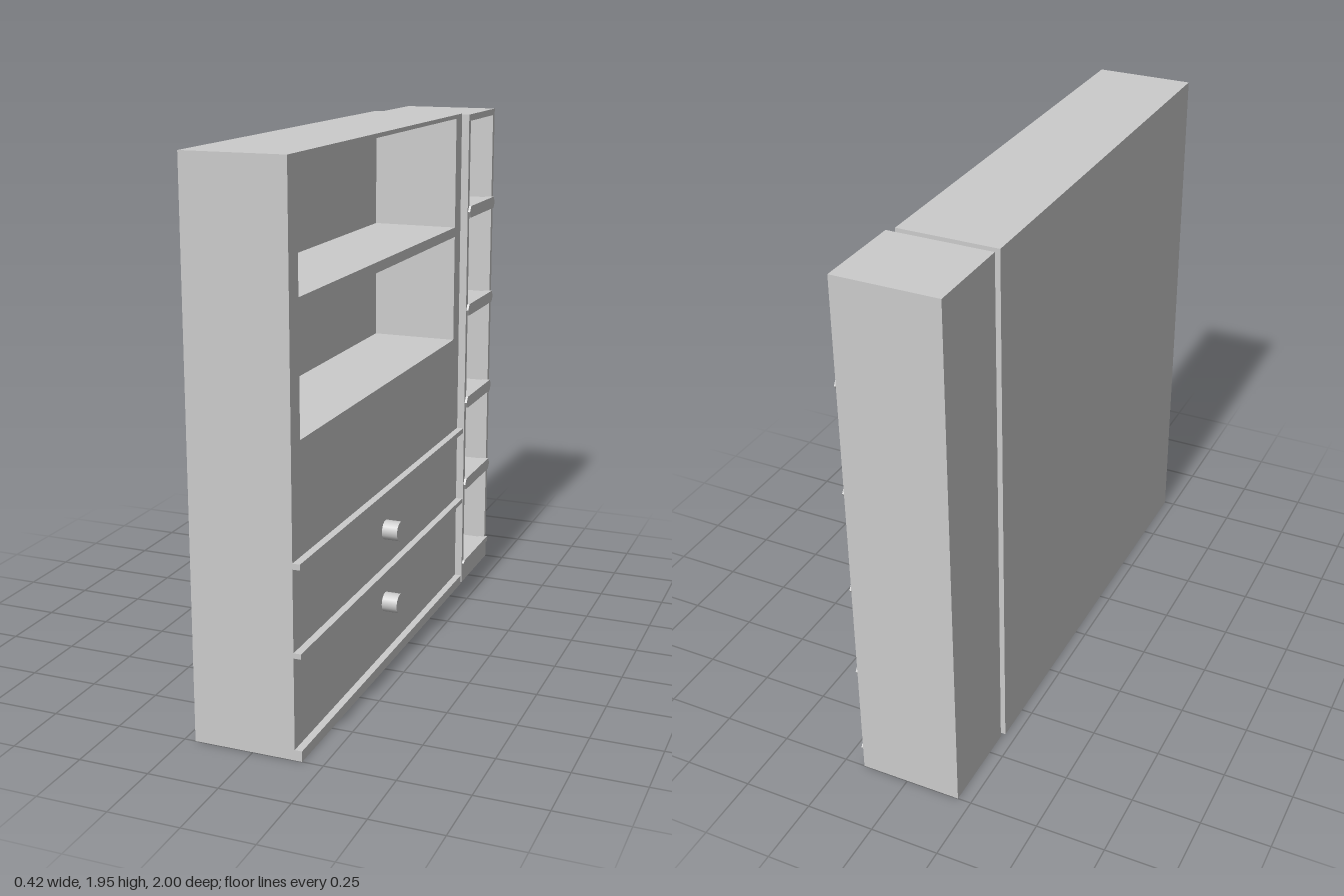
import * as THREE from 'three';

const material = new THREE.MeshStandardMaterial({ color: 0xcccccc });

function add(parent, name, geometry, x = 0, y = 0, z = 0) {
  const mesh = new THREE.Mesh(geometry, material);
  mesh.name = name;
  mesh.position.set(x, y, z);
  parent.add(mesh);
  return mesh;
}

// Closed outline from [u, y] pairs, where u runs along -z
function outline(points, Type = THREE.Shape) {
  return new Type(points.map(([u, y]) => new THREE.Vector2(u, y)));
}

const rect = (u0, y0, u1, y1) => [[u0, y0], [u1, y0], [u1, y1], [u0, y1]];

// Extrude an outline seen from the open side, from x0 to x1
function extrudeX(shape, x0, x1) {
  const g = new THREE.ExtrudeGeometry(shape, { depth: x1 - x0, bevelEnabled: false });
  g.rotateY(Math.PI / 2);
  g.translate(x0, 0, 0);
  return g;
}

// Cabinet with a closed back and rectangular recesses
function cabinet(parent, name, size, recesses, backX, recessX, frontX) {
  const front = outline(rect(...size));
  for (const r of recesses) front.holes.push(outline(rect(...r).reverse(), THREE.Path));
  add(parent, name + 'Carcass', extrudeX(front, recessX, frontX));
  add(parent, name + 'Back', extrudeX(outline(rect(...size)), backX, recessX));
}

export function createModel() {
  const model = new THREE.Group();
  model.name = 'wallUnit';

  // Wide cabinet with two open compartments
  const wide = new THREE.Group();
  wide.name = 'wideCabinet';
  model.add(wide);
  cabinet(wide, 'wide', [-1, 0, 0.643, 1.945],
    [[-0.93, 1.51, 0.575, 1.93], [-0.93, 1.06, 0.575, 1.473]], -0.21, -0.18, 0.15);

  // Ledges dividing the drawers, and the plinth
  for (const [name, y0, y1] of [['plinth', 0, 0.037], ['lowerLedge', 0.357, 0.375], ['upperLedge', 0.658, 0.678]]) {
    add(wide, name, extrudeX(outline(rect(-1, y0, 0.643, y1)), 0.15, 0.176));
  }

  // Drawer knobs
  for (const y of [0.235, 0.515]) {
    const knob = new THREE.CylinderGeometry(0.036, 0.036, 0.058, 20);
    knob.rotateZ(-Math.PI / 2);
    add(wide, 'drawerKnob', knob, 0.179, y, 0.18);
  }

  // Narrow tower with a column of open compartments
  const tower = new THREE.Group();
  tower.name = 'narrowTower';
  model.add(tower);
  const shelves = [0.083, 0.43, 0.78, 1.165, 1.56];
  const recesses = shelves.map((y, i) => [
    0.682, y + (i ? 0.02 : 0.008), 0.978,
    i < shelves.length - 1 ? shelves[i + 1] - 0.02 : 1.915,
  ]);
  cabinet(tower, 'tower', [0.66, 0, 1, 1.94], recesses, -0.2, -0.17, 0.174);

  // Shelf edge bars with pointed ends
  shelves.forEach((y, i) => {
    const h = i ? 0.023 : 0.011, c = i ? 0.015 : 0.008;
    const bar = outline([
      [0.663, y], [0.663 + c, y - h], [0.997 - c, y - h],
      [0.997, y], [0.997 - c, y + h], [0.663 + c, y + h],
    ]);
    add(tower, 'shelfEdge', extrudeX(bar, 0.15, 0.183));
  });
  return model;
}
